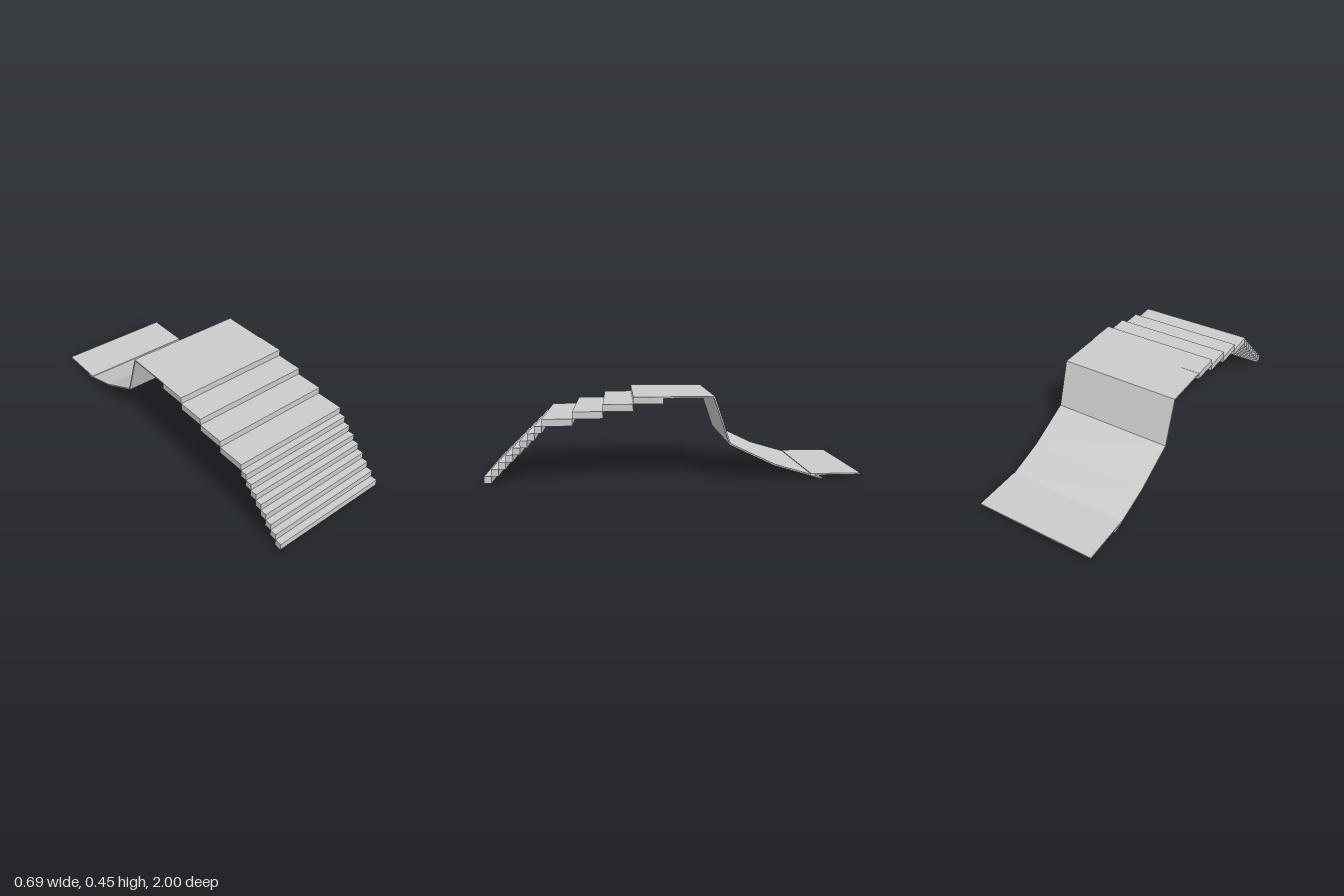
import * as THREE from 'three';

const material = new THREE.MeshStandardMaterial({ color: 0xcccccc, flatShading: true });
const STEP_WIDTH = 0.69;
const SLIDE_WIDTH = 0.684;
const THICKNESS = 0.008;

// Box spanning the given z and y ranges, centred on x
function slab(name, width, zFront, zBack, yLow, yHigh) {
  const mesh = new THREE.Mesh(new THREE.BoxGeometry(width, yHigh - yLow, zFront - zBack), material);
  mesh.position.set(0, (yLow + yHigh) / 2, (zFront + zBack) / 2);
  mesh.name = name;
  return mesh;
}

// Thin bent sheet: a (z, y) line running backwards, thickened on its underside with mitred bends
function bentSheet(name, line, width, thickness) {
  const top = line.map(([z, y]) => new THREE.Vector2(z, y));
  const normals = top.slice(1).map((p, i) => {
    const d = p.clone().sub(top[i]).normalize();
    return new THREE.Vector2(-d.y, d.x);
  });
  const under = top.map((p, i) => {
    const a = normals[Math.max(i - 1, 0)];
    const b = normals[Math.min(i, normals.length - 1)];
    const mitre = a.clone().add(b).normalize();
    return p.clone().addScaledVector(mitre, thickness / mitre.dot(a));
  });
  const shape = new THREE.Shape([...top, ...under.reverse()]);
  const geometry = new THREE.ExtrudeGeometry(shape, { depth: width, bevelEnabled: false });
  geometry.rotateY(-Math.PI / 2).translate(width / 2, 0, 0);
  const mesh = new THREE.Mesh(geometry, material);
  mesh.name = name;
  return mesh;
}

export function createModel() {
  const model = new THREE.Group();
  model.name = 'stairsAndSlide';

  // Stairs: eight narrow treads, then four deep ones
  const stairs = new THREE.Group();
  stairs.name = 'stairs';
  const rise = 0.0371;
  let z = 1;
  for (let i = 0; i < 12; i++) {
    const depth = i < 8 ? 0.0378 : 0.158;
    const y = 0.007 + i * rise;
    stairs.add(slab(i < 8 ? 'narrowStep' : 'deepStep', STEP_WIDTH, z, z - depth, y, y + rise));
    z -= depth;
  }
  model.add(stairs);

  // Platform and sloping chute
  model.add(bentSheet('platformAndChute', [
    [z, 0.452], [-0.205, 0.452], [-0.291, 0.199], [-0.53, 0.085], [-0.79, 0.008],
  ], SLIDE_WIDTH, THICKNESS));

  // Level run-out at the foot of the chute
  model.add(slab('runOut', SLIDE_WIDTH, -0.73, -1, 0.022, 0.03));

  return model;
}
